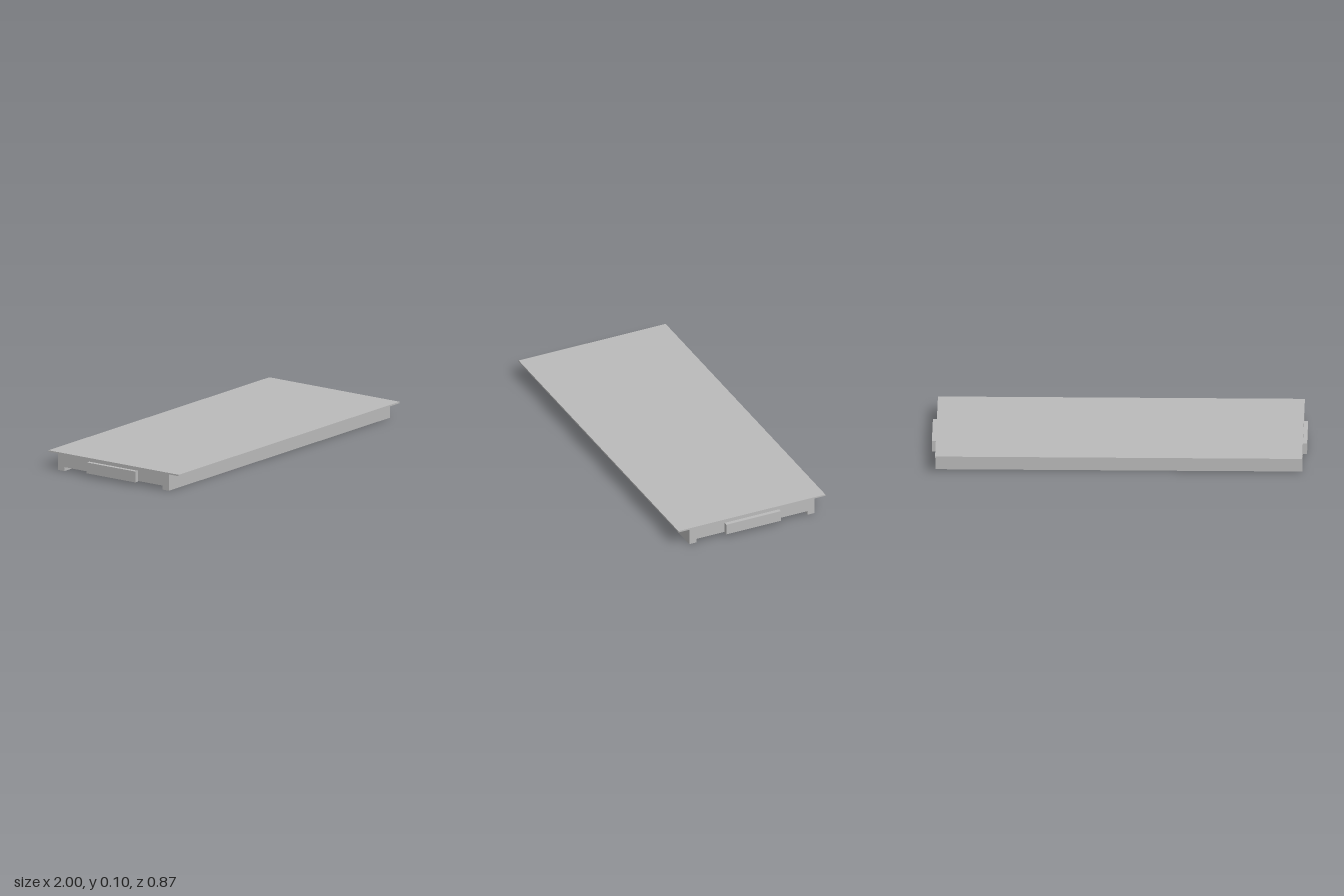
import * as THREE from 'three';

export function createModel() {
  const model = new THREE.Group();
  model.name = 'platform';
  const grey = new THREE.MeshStandardMaterial({ color: 0xbababa });
  grey.name = 'plain grey';

  const add = (name, geometry, x, y, z) => {
    const mesh = new THREE.Mesh(geometry, grey);
    mesh.name = name;
    mesh.position.set(x, y, z);
    model.add(mesh);
  };
  // Box given by its centre in x and z, and its bottom and top heights
  const box = (name, x, z, width, depth, bottom, top) =>
    add(name, new THREE.BoxGeometry(width, top - bottom, depth), x, (bottom + top) / 2, z);

  const halfLength = 0.978;
  const under = 0.09; // underside of the deck

  // Thin overhanging deck
  box('deck', 0, 0, halfLength * 2, 0.87, under, 0.098);

  // Long side rails
  for (const side of [-1, 1]) {
    box(side > 0 ? 'frontRail' : 'backRail', 0, side * 0.349, halfLength * 2, 0.042, 0, under);
  }

  // Five cross beams between the rails, the outer two flush with the ends
  for (const x of [-0.948, -0.4875, 0, 0.4875, 0.948]) {
    box('crossBeam', x, 0, 0.06, 0.656, 0.022, under);
  }

  // End bumpers and pivot pins
  for (const side of [-1, 1]) {
    box(side > 0 ? 'leftBumper' : 'rightBumper', side * 0.989, 0, 0.022, 0.324, 0.018, 0.078);
    add(side > 0 ? 'leftPin' : 'rightPin',
      new THREE.CylinderGeometry(0.024, 0.024, under, 32), side * 0.763, under / 2, 0);
  }

  return model;
}
